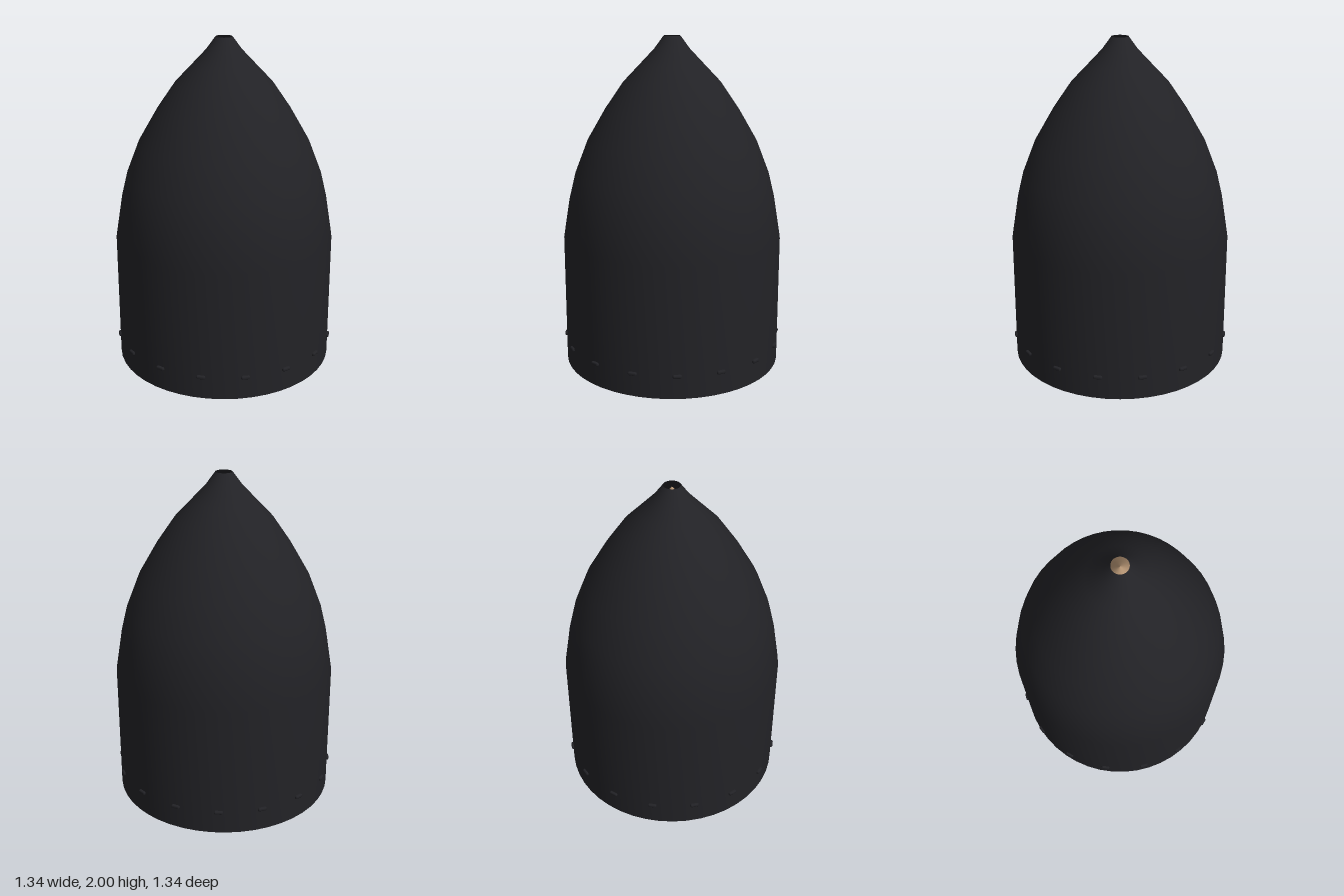
import * as THREE from 'three';
import { RoundedBoxGeometry } from 'three/addons/geometries/RoundedBoxGeometry.js';

const SEGMENTS = 48;
const BASE_RADIUS = 0.665;
const INNER_RADIUS = 0.61;

const skin = new THREE.MeshStandardMaterial({ color: 0x222226, side: THREE.DoubleSide });
const lining = new THREE.MeshStandardMaterial({ color: 0xb09070, side: THREE.DoubleSide });

function add(parent, name, geometry, material) {
  const mesh = new THREE.Mesh(geometry, material);
  mesh.name = name;
  parent.add(mesh);
  return mesh;
}

function lathe(profile) {
  return new THREE.LatheGeometry(profile.map(([r, y]) => new THREE.Vector2(r, y)), SEGMENTS, Math.PI / 2);
}

export function createModel() {
  const model = new THREE.Group();
  model.name = 'noseFairing';

  // Outer shell: straight skirt, curved nose, open at the very tip
  add(model, 'outerShell', lathe([
    [BASE_RADIUS, 0], [BASE_RADIUS, 0.79], [0.625, 1.03], [0.588, 1.18], [0.51, 1.38],
    [0.4, 1.57], [0.29, 1.73], [0.19, 1.835], [0.105, 1.925], [0.05, 2],
  ]), skin);

  // Inner lining: follows the shell and closes to a point under the tip opening
  add(model, 'innerLining', lathe([
    [INNER_RADIUS, 0], [INNER_RADIUS, 0.78], [0.575, 1.01], [0.537, 1.16], [0.463, 1.35],
    [0.357, 1.53], [0.25, 1.69], [0.15, 1.8], [0.06, 1.92], [0, 1.99],
  ]), lining);

  // Bottom rim closing the wall of the front half
  const rim = new THREE.RingGeometry(INNER_RADIUS, BASE_RADIUS, SEGMENTS / 2, 1, 0, Math.PI);
  rim.rotateX(Math.PI / 2);
  add(model, 'bottomRim', rim, skin);

  // Ring of small fastening lugs around the skirt
  const lugs = new THREE.Group();
  lugs.name = 'fasteningLugs';
  const lugGeometry = new RoundedBoxGeometry(0.054, 0.022, 0.03, 1, 0.009);
  const count = 16;
  for (let i = 0; i < count; i++) {
    const angle = ((i + 0.5) / count) * Math.PI * 2;
    const lug = add(lugs, 'lug', lugGeometry, skin);
    lug.position.set(Math.sin(angle) * 0.663, 0.14, Math.cos(angle) * 0.663);
    lug.rotation.y = angle;
  }
  model.add(lugs);

  return model;
}
